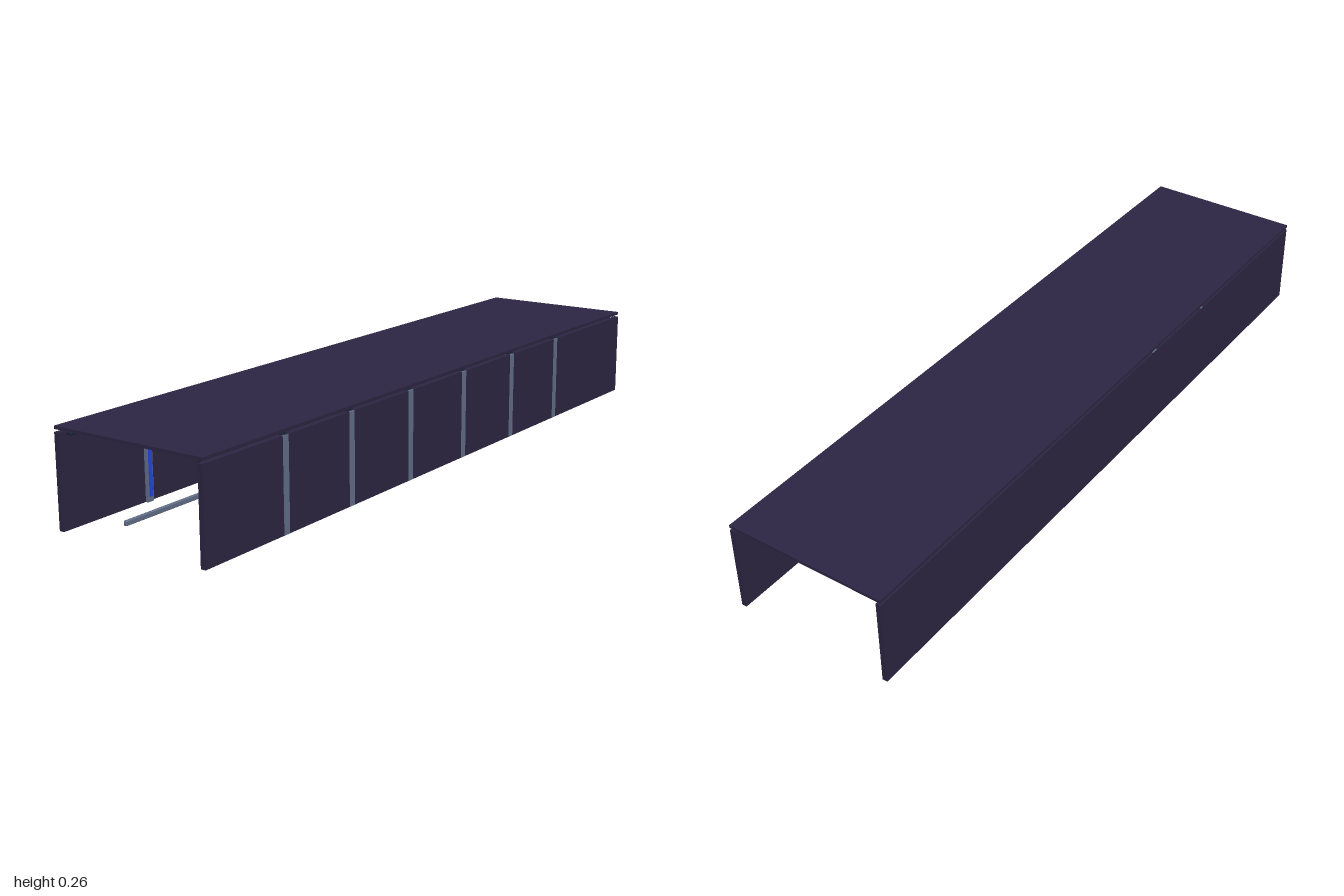
import * as THREE from 'three';
import { RoundedBoxGeometry } from 'three/addons/geometries/RoundedBoxGeometry.js';

const mat = (color) => new THREE.MeshStandardMaterial({ color });

export function createModel() {
  const model = new THREE.Group();
  const M = {
    shell: mat(0x2e2644), slate: mat(0x1f2738), steel: mat(0x64708a), blue: mat(0x2348e0),
    navy: mat(0x1c2350), purple: mat(0x7a1fc0), gold: mat(0xb8924a), seat: mat(0x2f2b4a),
  };

  // Box given by its min and max on each axis
  const box = (name, m, [x0, x1], [y0, y1], [z0, z1], parent = model, radius = 0) => {
    const size = [Math.abs(x1 - x0), y1 - y0, z1 - z0];
    const geo = radius ? new RoundedBoxGeometry(...size, 3, radius) : new THREE.BoxGeometry(...size);
    const mesh = new THREE.Mesh(geo, m);
    mesh.name = name;
    mesh.position.set((x0 + x1) / 2, (y0 + y1) / 2, (z0 + z1) / 2);
    parent.add(mesh);
    return mesh;
  };

  // Roof slab, floating just above the walls
  box('roof', M.shell, [-0.227, 0.227], [0.255, 0.263], [-1, 1]);

  // Recessed end wall with its display panel and light frame
  box('endWall', M.slate, [-0.213, 0.213], [0.006, 0.25], [-0.765, -0.75]);
  box('endPanel', M.shell, [-0.131, 0.131], [0.088, 0.19], [-0.75, -0.745]);
  box('endLightTop', M.navy, [-0.177, 0.177], [0.226, 0.229], [-0.75, -0.746]);

  for (const s of [1, -1]) {
    const side = new THREE.Group();
    side.name = s > 0 ? 'leftSide' : 'rightSide';
    model.add(side);
    const add = (name, m, x, y, z, r) => box(name, m, [s * x[0], s * x[1]], y, z, side, r);

    // Wall, ceiling conduit, light strips and floor rail
    add('wall', M.shell, [0.213, 0.227], [0.006, 0.248], [-1, 1]);
    add('conduit', M.slate, [0.193, 0.21], [0.239, 0.249], [-0.98, 0.98], 0.003);
    add('ceilingLight', M.purple, [0.173, 0.177], [0.224, 0.229], [-0.82, 0.82]);
    add('endLight', M.purple, [0.173, 0.177], [0.048, 0.226], [-0.75, -0.746]);
    add('floorRail', M.steel, [0.133, 0.143], [0, 0.013], [-0.62, 0.875], 0.002);

    // Benches on gold plates
    for (const z of [-0.21, 0.285]) {
      const zs = [z - 0.095, z + 0.095];
      add('benchFoot', M.slate, [0.149, 0.204], [0.0105, 0.0125], zs);
      add('benchPlate', M.gold, [0.148, 0.205], [0.012, 0.019], zs);
      add('benchSeat', M.seat, [0.15, 0.202], [0.019, 0.048], [z - 0.09, z + 0.09], 0.008);
    }
  }

  // Evenly spaced frames: pillars, blue strips and a crossbeam
  for (let i = 0; i < 6; i++) {
    const z = 0.714 - i * 0.2588;
    const frame = new THREE.Group();
    frame.name = 'frame';
    model.add(frame);
    const zs = [z - 0.0105, z + 0.0105];
    box('crossbeam', M.slate, [-0.222, 0.222], [0.246, 0.255], zs, frame);
    box('crossLight', M.navy, [-0.2, 0.2], [0.243, 0.246], [z - 0.004, z + 0.004], frame);
    // The left pillars show through the outer wall face
    box('leftPillar', M.steel, [0.205, 0.2276], [0.006, 0.248], zs, frame);
    box('rightPillar', M.steel, [-0.2265, -0.205], [0.006, 0.248], zs, frame);
    for (const s of [1, -1]) {
      box('pillarLight', M.blue, [s * 0.201, s * 0.205], [0.02, 0.24], [z - 0.005, z + 0.005], frame);
    }
  }
  return model;
}
